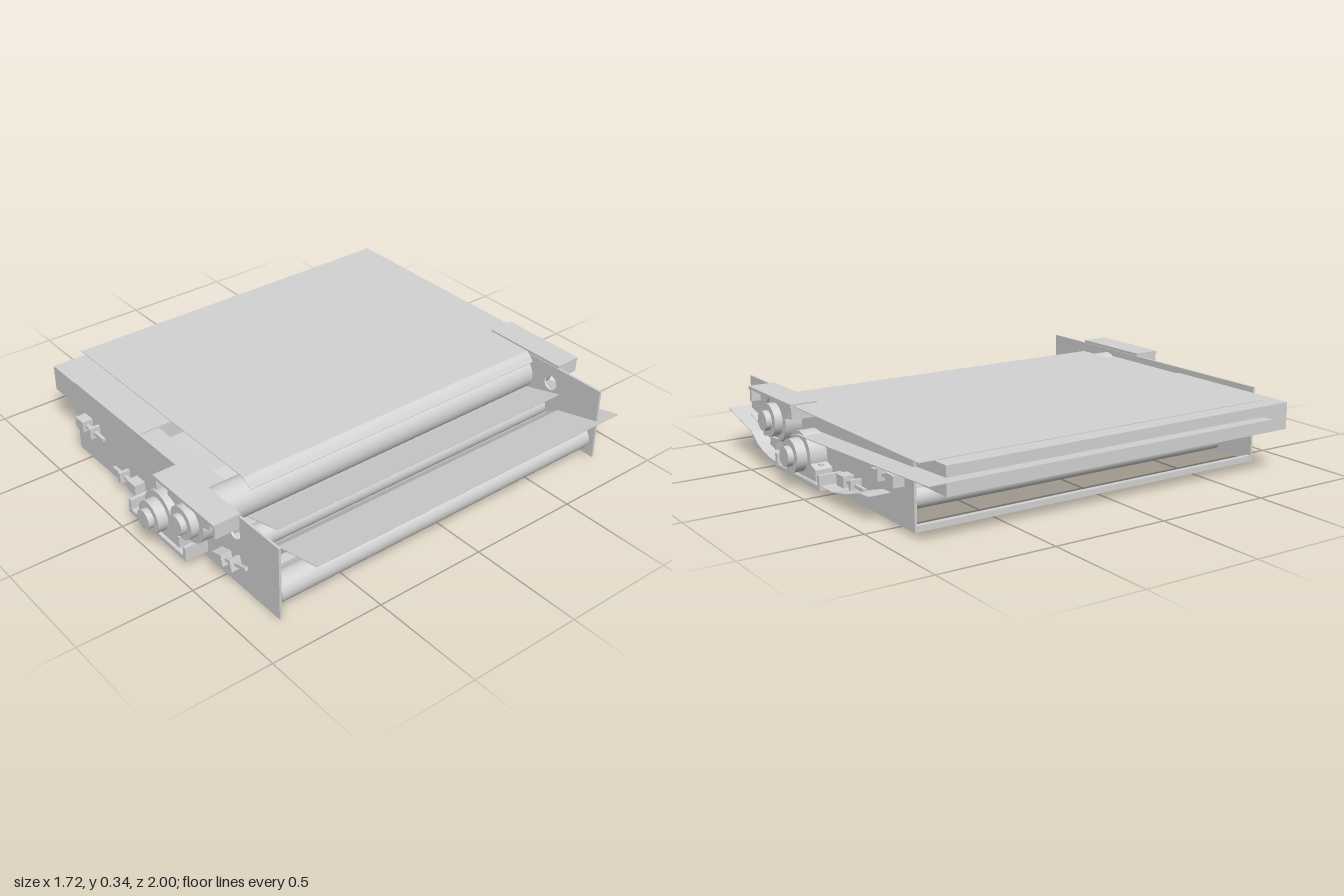
import * as THREE from 'three';

const metal = new THREE.MeshStandardMaterial({ color: 0xd2d2d2 });
metal.name = 'light grey metal';
metal.side = THREE.DoubleSide;

function add(parent, name, geometry, x = 0, y = 0, z = 0) {
  const mesh = new THREE.Mesh(geometry, metal);
  mesh.name = name;
  mesh.position.set(x, y, z);
  parent.add(mesh);
  return mesh;
}

// Box given by its limits on each axis
function box(parent, name, x0, x1, y0, y1, z0, z1) {
  return add(parent, name, new THREE.BoxGeometry(x1 - x0, y1 - y0, z1 - z0),
    (x0 + x1) / 2, (y0 + y1) / 2, (z0 + z1) / 2);
}

// Cylinder lying along z
function rod(parent, name, r, x, y, z0, z1) {
  const g = new THREE.CylinderGeometry(r, r, z1 - z0, 48).rotateX(Math.PI / 2);
  return add(parent, name, g, x, y, (z0 + z1) / 2);
}

// Shape in the xy plane extruded from z0 to z1
function slab(parent, name, shape, z0, z1) {
  const g = new THREE.ExtrudeGeometry(shape, { depth: z1 - z0, bevelEnabled: false, curveSegments: 24 });
  return add(parent, name, g, 0, 0, z0);
}

// Thin sheet following a side profile
function sheet(parent, name, points) {
  const t = 0.0015;
  const upper = points.map(([x, y]) => new THREE.Vector2(x, y + t));
  const lower = points.map(([x, y]) => new THREE.Vector2(x, y - t)).reverse();
  return slab(parent, name, new THREE.Shape([...upper, ...lower]), -0.94, 0.69);
}

// Pillow block with stepped collar; dir 1 stands on its feet, -1 hangs
function bearing(parent, x, y, dir, end) {
  const g = new THREE.Group();
  g.name = 'bearing';
  const s = new THREE.Shape();
  s.moveTo(-0.14, -0.085);
  s.lineTo(0.14, -0.085);
  s.lineTo(0.14, -0.035);
  s.lineTo(0.095, -0.02);
  s.absarc(0, 0, 0.097, -0.2, Math.PI + 0.2, false);
  s.lineTo(-0.14, -0.035);
  s.closePath();
  const housing = slab(g, 'bearingHousing', s, 0.855, 0.93);
  if (dir < 0) housing.rotation.z = Math.PI;
  rod(g, 'bearingCollar', 0.07, 0, 0, 0.93, end - 0.025);
  rod(g, 'bearingHub', 0.042, 0, 0, end - 0.03, end);
  g.position.set(x, y, 0);
  parent.add(g);
}

// Threaded adjuster: block, rod and nut along a tilted line
function adjuster(parent, x, y, angle) {
  const g = new THREE.Group();
  g.name = 'beltAdjuster';
  box(g, 'adjusterBlock', -0.03, 0.03, -0.024, 0.024, 0.84, 0.89);
  box(g, 'adjusterRod', 0.03, 0.165, -0.007, 0.007, 0.862, 0.876);
  box(g, 'adjusterNut', 0.08, 0.095, -0.025, 0.025, 0.845, 0.893);
  g.position.set(x, y, 0);
  g.rotation.z = angle;
  parent.add(g);
}

// Everything carried by one side of the frame
function side(name) {
  const g = new THREE.Group();
  g.name = name;
  const p = new THREE.Shape();
  p.moveTo(-0.595, 0);
  p.lineTo(0.833, 0);
  p.lineTo(0.833, 0.328);
  p.lineTo(-0.595, 0.328);
  p.closePath();
  const hole = new THREE.Path();
  hole.absarc(0.562, 0.243, 0.035, 0, Math.PI * 2, true);
  p.holes.push(hole);
  slab(g, 'sidePlate', p, 0.832, 0.842);

  // Lower cradle
  box(g, 'cradleBase', -0.03, 0.375, 0.032, 0.05, 0.84, 0.945);
  for (const x of [-0.03, 0.358]) box(g, 'cradleEnd', x, x + 0.017, 0.05, 0.095, 0.84, 0.945);
  for (const x of [0.05, 0.275]) box(g, 'cradleBolt', x, x + 0.02, 0.05, 0.115, 0.88, 0.9);
  bearing(g, 0.17, 0.135, 1, 1.0);

  // Upper hanger
  box(g, 'hangerTop', 0.19, 0.595, 0.327, 0.34, 0.835, 0.955);
  for (const x of [0.19, 0.58]) box(g, 'hangerEnd', x, x + 0.015, 0.275, 0.327, 0.84, 0.95);
  for (const x of [0.27, 0.49]) box(g, 'hangerBolt', x, x + 0.02, 0.255, 0.327, 0.88, 0.9);
  bearing(g, 0.39, 0.235, -1, 0.99);

  adjuster(g, -0.495, 0.185, 0);
  adjuster(g, -0.1, 0.083, Math.PI);
  adjuster(g, 0.51, 0.102, 0.26);
  return g;
}

export function createModel() {
  const model = new THREE.Group();
  model.name = 'rollerUnit';

  // Frame sides, the back one mirrored
  model.add(side('frontSide'));
  const back = side('backSide');
  back.scale.z = -1;
  model.add(back);
  box(model, 'endCrossbar', -0.595, -0.575, 0, 0.025, -0.835, 0.835);

  // Table body and its front rail
  box(model, 'tableBody', -0.8, -0.12, 0.19, 0.305, -0.83, 0.828);
  box(model, 'tableRail', -0.22, 0.35, 0.21, 0.3, 0.73, 0.828);

  // Rollers: radius, x, y
  const rollers = [
    ['driveRoller', 0.08, 0.39, 0.235],
    ['pressRoller', 0.08, 0.165, 0.137],
    ['exitRoller', 0.057, 0.762, 0.084],
    ['guideRoller', 0.05, 0.51, 0.12],
    ['entryRoller', 0.048, -0.37, 0.058],
  ];
  for (const [name, r, x, y] of rollers) rod(model, name, r, x, y, -0.818, 0.818);
  rod(model, 'driveShaft', 0.03, 0.39, 0.235, -0.9, 0.9);
  rod(model, 'pressShaft', 0.03, 0.17, 0.135, -0.9, 0.9);
  box(model, 'guideBar', 0.645, 0.69, 0.07, 0.11, -0.83, 0.83);

  // Top sheet with a small lip over the drive roller
  sheet(model, 'topSheet', [[-0.795, 0.331], [0.41, 0.331], [0.435, 0.317], [0.45, 0.295]]);

  // Middle sheet running between the two main rollers
  sheet(model, 'middleSheet', [
    [-0.86, 0.262], [-0.6, 0.25], [0.05, 0.222], [0.17, 0.218], [0.23, 0.203],
    [0.31, 0.17], [0.36, 0.155], [0.4, 0.153], [0.45, 0.164], [0.62, 0.21],
  ]);

  // Lower sheet dipping beneath the press roller
  sheet(model, 'lowerSheet', [
    [-0.42, 0.11], [-0.36, 0.108], [-0.25, 0.075], [-0.13, 0.052], [0.17, 0.05],
    [0.37, 0.05], [0.44, 0.056], [0.5, 0.067], [0.56, 0.09], [0.62, 0.13], [0.86, 0.187],
  ]);

  return model;
}
